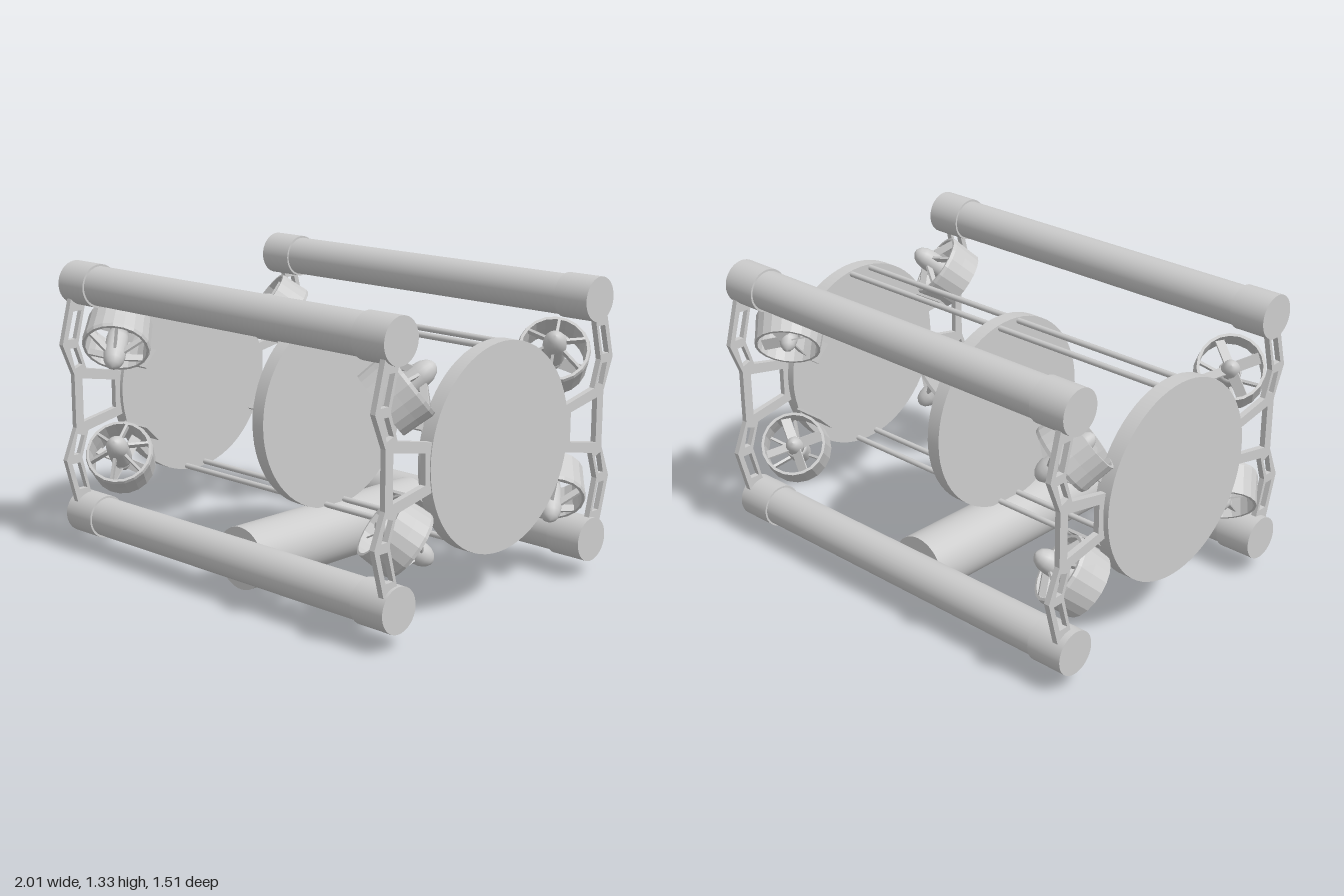
import * as THREE from 'three';

const MID = 0.705; // height of the machine's centre line

export function createModel() {
  const root = new THREE.Group();
  const smooth = new THREE.MeshStandardMaterial({ color: 0xcccccc });
  const flat = new THREE.MeshStandardMaterial({ color: 0xcccccc, flatShading: true });

  const add = (name, geo, parent = root, mat = smooth) => {
    const mesh = new THREE.Mesh(geo, mat);
    mesh.name = name;
    parent.add(mesh);
    return mesh;
  };
  // Cylinder lying along x between two x positions
  const barX = (name, r, x0, x1, y, z, sides = 40) => {
    const geo = new THREE.CylinderGeometry(r, r, x1 - x0, sides).rotateZ(Math.PI / 2);
    return add(name, geo.translate((x0 + x1) / 2, y, z));
  };

  // Four long tubes with end caps
  for (const sy of [-1, 1]) {
    for (const sz of [-1, 1]) {
      const y = MID + 0.53 * sy, z = 0.627 * sz;
      barX('longTube', 0.088, -0.9, 0.9, y, z);
      barX('tubeCapRight', 0.097, -0.97, -0.8, y, z);
      barX('tubeCapLeft', 0.097, 0.81, 0.98, y, z);
      barX('tieRod', 0.013, -0.91, 0.91, MID + 0.42 * sy, 0.058 * sz, 12);
    }
  }

  // Round bulkheads
  barX('endDiscRight', 0.44, -0.965, -0.895, MID, 0, 64);
  barX('middleDisc', 0.44, -0.03, 0.035, MID, 0, 64);
  barX('endDiscLeft', 0.44, 0.904, 0.97, MID, 0, 64);

  // Canister slung underneath, running front to back
  const canister = new THREE.CylinderGeometry(0.139, 0.139, 1.09, 48).rotateX(Math.PI / 2);
  add('lowerCanister', canister.translate(0.003, 0.143, 0.004));

  // Side frames: outline and windows in (z, height from centre line)
  const half = [[0.42, 0.1], [0.628, 0.143], [0.668, 0.263], [0.62, 0.45],
    [0.7, 0.47], [0.755, 0.265], [0.696, 0.122]];
  const upperWindows = [
    [[0.69, 0.41], [0.645, 0.41], [0.68, 0.285], [0.725, 0.285]],
    [[0.715, 0.245], [0.68, 0.245], [0.65, 0.165], [0.69, 0.15]],
  ];
  const flip = (pts) => pts.map(([z, y]) => [z, -y]).reverse();
  const windows = [
    [[0.652, 0.1], [0.466, 0.065], [0.466, -0.065], [0.652, -0.1]],
    ...upperWindows, ...upperWindows.map(flip),
  ];
  for (const x of [-0.914, 0.966]) {
    for (const sz of [-1, 1]) {
      const toVec = ([z, y]) => new THREE.Vector2(z * sz, y + MID);
      const shape = new THREE.Shape([...half, ...flip(half)].map(toVec));
      for (const w of windows) shape.holes.push(new THREE.Path(w.map(toVec)));
      const geo = new THREE.ExtrudeGeometry(shape, { depth: 0.026, bevelEnabled: false });
      add('sideFrame', geo.rotateY(-Math.PI / 2).translate(x, 0, 0));
    }
  }

  // Eight vectored thrusters
  for (const sx of [-1, 1]) {
    for (const sy of [-1, 1]) {
      for (const sz of [-1, 1]) {
        const unit = makeThruster(add, smooth, flat);
        unit.position.set(0.84 * sx, MID + 0.285 * sy, 0.5 * sz);
        const dir = new THREE.Vector3(0.5, 0.61 * sx * sy, -0.61 * sx * sz).normalize();
        unit.quaternion.setFromUnitVectors(new THREE.Vector3(0, 1, 0), dir);
        root.add(unit);

        // Flat bracket joining the duct to the end disc
        const plate = add('thrusterBracket', new THREE.BoxGeometry(0.16, 0.012, 0.1));
        plate.position.set(0.826 * sx, MID + 0.172 * sy, 0.387 * sz);
        plate.rotation.x = (Math.PI / 4) * sy * sz;
      }
    }
  }
  return root;
}

// Ducted thruster along y, motor pod towards +y
function makeThruster(add, smooth, flat) {
  const unit = new THREE.Group();
  unit.name = 'thruster';
  const lathe = (pts, n) =>
    new THREE.LatheGeometry(pts.map(([r, y]) => new THREE.Vector2(r, y)), n);

  // Nozzle ring
  add('duct', lathe([[0.134, -0.075], [0.146, -0.075], [0.15, 0.0], [0.155, 0.06],
    [0.15, 0.075], [0.138, 0.075], [0.134, 0.0], [0.134, -0.075]], 20), unit, flat);

  // Motor pod with rounded nose, and hub dome behind
  add('motorPod', lathe([[0, -0.01], [0.045, -0.01], [0.05, 0.02], [0.05, 0.12],
    [0.045, 0.15], [0.032, 0.175], [0.015, 0.188], [0, 0.192]], 20), unit);
  add('propellerHub', lathe([[0, -0.095], [0.018, -0.088], [0.032, -0.07], [0.04, -0.04],
    [0.042, -0.012], [0, -0.012]], 20), unit);

  // Swept struts from pod to duct
  const from = new THREE.Vector3(0.045, 0.105, 0), to = new THREE.Vector3(0.143, 0.055, 0);
  const length = from.distanceTo(to);
  for (let i = 0; i < 6; i++) {
    const arm = new THREE.Group();
    arm.rotation.y = (i * Math.PI) / 3;
    const strut = add('strut', new THREE.BoxGeometry(length, 0.03, 0.012), arm);
    strut.position.copy(from).add(to).multiplyScalar(0.5);
    strut.rotation.z = Math.atan2(to.y - from.y, to.x - from.x);
    unit.add(arm);
  }

  // Pitched propeller blades
  for (let i = 0; i < 4; i++) {
    const arm = new THREE.Group();
    arm.rotation.y = (i * Math.PI) / 2 + 0.3;
    const blade = add('blade', new THREE.BoxGeometry(0.1, 0.006, 0.05), arm, smooth);
    blade.position.set(0.08, -0.04, 0);
    blade.rotation.x = 0.6;
    unit.add(arm);
  }
  return unit;
}
